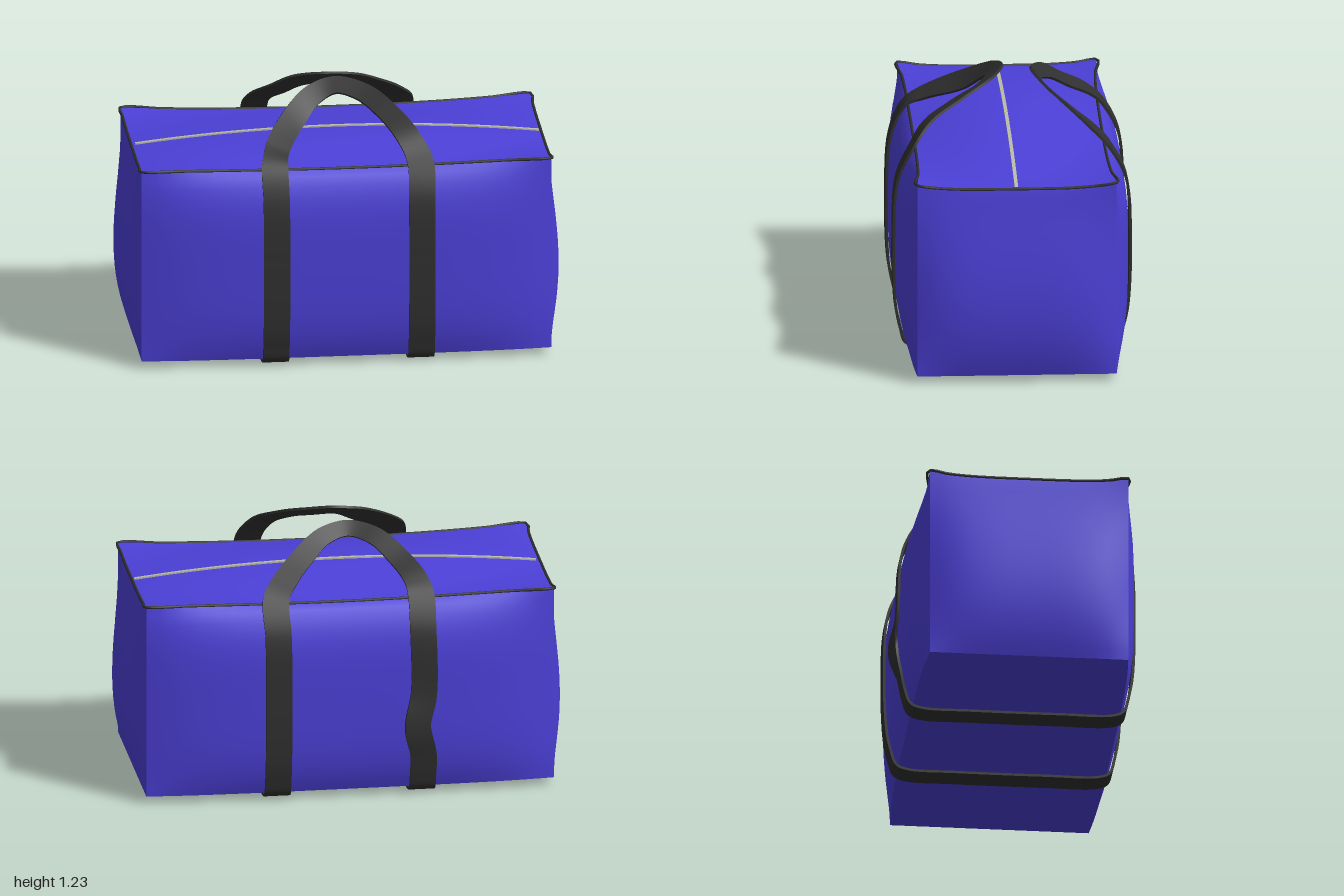
import * as THREE from 'three';

const V = (x, y, z) => new THREE.Vector3(x, y, z);

// Maps a unit cube surface point (-1..1) to the soft, slightly bulging bag
function bagPoint(a, b, c) {
  const soft = (s) => 1 - s ** 4, round = (s) => 1 - s * s;
  const p = V(0.94 * a, 0.492 + 0.457 * b, 0.01 + 0.455 * c);
  // long sides swell, pinch in at the top seam and stay a little full at the bottom
  const swell = soft(b) + (b > 0 ? -0.3 : 0.3) * b ** 4;
  p.z += c * (c > 0 ? 0.07 : 0.08) * soft(a) * swell;
  if (Math.abs(a) > 0.999) p.x += a * 0.056 * round(b) * (1 - 0.6 * b) * soft(c);
  if (b > 0.999) p.y += 0.078 * round(a) * round(c) - 0.022 * round(a) - 0.024 * soft(c) + 0.008 * round(a) * Math.sin(c * 3);
  if (b < -0.999) p.y -= 0.016 * soft(a) * soft(c);
  return p;
}

// Flat band along keys of [centre, half-width vector]
function bandGeometry(keys, half, closed, steps) {
  const path = new THREE.CatmullRomCurve3(keys.map((k) => k[0]), closed);
  const widths = new THREE.CatmullRomCurve3(keys.map((k) => k[1]), closed, 'catmullrom', 0.3);
  const pos = [], index = [];
  for (let k = 0; k <= steps; k++) {
    const p = path.getPoint(k / steps), t = path.getTangent(k / steps);
    const w = widths.getPoint(k / steps), len = w.length();
    w.addScaledVector(t, -w.dot(t)).setLength(len);
    const n = t.clone().cross(w).setLength(half);
    const ring = [[1, 1], [-1, 1], [-1, -1], [1, -1]].map(([i, j]) =>
      p.clone().addScaledVector(w, i).addScaledVector(n, j));
    // each side has its own corners so the band edges stay sharp
    for (let s = 0; s < 4; s++) {
      pos.push(...ring[s].toArray(), ...ring[(s + 1) % 4].toArray());
      if (k < steps) {
        const a = k * 8 + s * 2;
        index.push(a, a + 1, a + 8, a + 1, a + 9, a + 8);
      }
    }
  }
  const g = new THREE.BufferGeometry();
  g.setAttribute('position', new THREE.Float32BufferAttribute(pos, 3));
  g.setIndex(index);
  g.computeVertexNormals();
  return g;
}

export function createModel() {
  const bag = new THREE.Group();
  bag.name = 'duffelBag';
  const mat = (name, color) => {
    const m = new THREE.MeshStandardMaterial({ color });
    m.name = name;
    return m;
  };
  const fabric = mat('blue fabric', 0x4c40d8);
  const webbing = mat('black webbing', 0x303030);
  const metal = mat('zipper grey', 0xbcbcaa);
  const add = (name, geometry, material) => {
    const m = new THREE.Mesh(geometry, material);
    m.name = name;
    bag.add(m);
  };

  // Body
  const body = new THREE.BoxGeometry(2, 2, 2, 28, 20, 20);
  const bp = body.attributes.position;
  for (let i = 0; i < bp.count; i++) {
    const p = bagPoint(bp.getX(i), bp.getY(i), bp.getZ(i));
    bp.setXYZ(i, p.x, p.y, p.z);
  }
  body.computeVertexNormals();
  add('body', body, fabric);

  // Piping round the top edge
  const rim = [];
  const corners = [[-1, 1], [1, 1], [1, -1], [-1, -1]];
  corners.forEach(([a, c], i) => {
    const [a2, c2] = corners[(i + 1) % 4];
    for (let k = 0; k < 10; k++) {
      const s = k / 10;
      rim.push(bagPoint(a + (a2 - a) * s, 1, c + (c2 - c) * s));
    }
  });
  add('topPiping', new THREE.TubeGeometry(new THREE.CatmullRomCurve3(rim, true), 160, 0.007, 6, true), webbing);

  // Zipper along the middle of the top
  const zip = [];
  for (let k = 0; k <= 12; k++) {
    const p = bagPoint(-0.98 + (1.97 * k) / 12, 1, 0.005);
    zip.push([p.add(V(0, 0.003, 0)), V(0, 0, 0.008)]);
  }
  add('zipper', bandGeometry(zip, 0.004, false, 36), metal);

  // Carrying strap: one loop of webbing up each side, over both handles and under the bag
  const leg = (x, profile) => profile.map(([y, z]) => [V(x, y, z), V(-Math.sign(x) * 0.06, 0, 0)]);
  const front = [[0.007, 0.2], [0.012, 0.45], [0.034, 0.497], [0.1, 0.518], [0.2, 0.537], [0.5, 0.546], [0.8, 0.528], [0.95, 0.46]];
  const back = [[0.007, -0.2], [0.012, -0.43], [0.034, -0.48], [0.1, -0.505], [0.2, -0.525], [0.5, -0.536], [0.8, -0.515], [0.95, -0.436]];
  const L = -0.327, R = 0.34;
  // the rear strap on one side hangs loose and slightly twisted
  const looseLeg = leg(L, [...back.slice(0, 5), [0.35, -0.552], ...back.slice(5)]);
  looseLeg[5][0].x += 0.03;
  looseLeg[5][1].z = -0.012;
  const strap = [
    ...leg(L, front),
    // front handle
    [V(-0.303, 1.01, 0.36), V(0.048, -0.024, 0.02)],
    [V(-0.215, 1.09, 0.2), V(0.035, -0.04, 0.02)],
    [V(-0.12, 1.163, 0.1), V(0.02, -0.034, 0.03)],
    [V(-0.01, 1.198, 0.066), V(0, -0.027, 0.038)],
    [V(0.11, 1.178, 0.12), V(-0.022, -0.025, 0.035)],
    [V(0.21, 1.125, 0.25), V(-0.038, -0.02, 0.028)],
    [V(0.29, 1.05, 0.385), V(-0.05, -0.015, 0.015)],
    ...leg(R, front).reverse(),
    ...leg(R, back),
    // back handle
    [V(0.285, 1.02, -0.36), V(-0.048, -0.018, -0.02)],
    [V(0.19, 1.09, -0.255), V(-0.033, -0.027, -0.025)],
    [V(0.085, 1.15, -0.16), V(-0.02, -0.03, -0.023)],
    [V(-0.035, 1.172, -0.122), V(0, -0.03, -0.024)],
    [V(-0.155, 1.145, -0.175), V(0.02, -0.03, -0.023)],
    [V(-0.245, 1.075, -0.265), V(0.036, -0.024, -0.022)],
    [V(-0.307, 1.01, -0.37), V(0.05, -0.015, -0.015)],
    ...looseLeg.reverse(),
  ];
  add('carryingStrap', bandGeometry(strap, 0.006, true, strap.length * 7), webbing);

  return bag;
}
